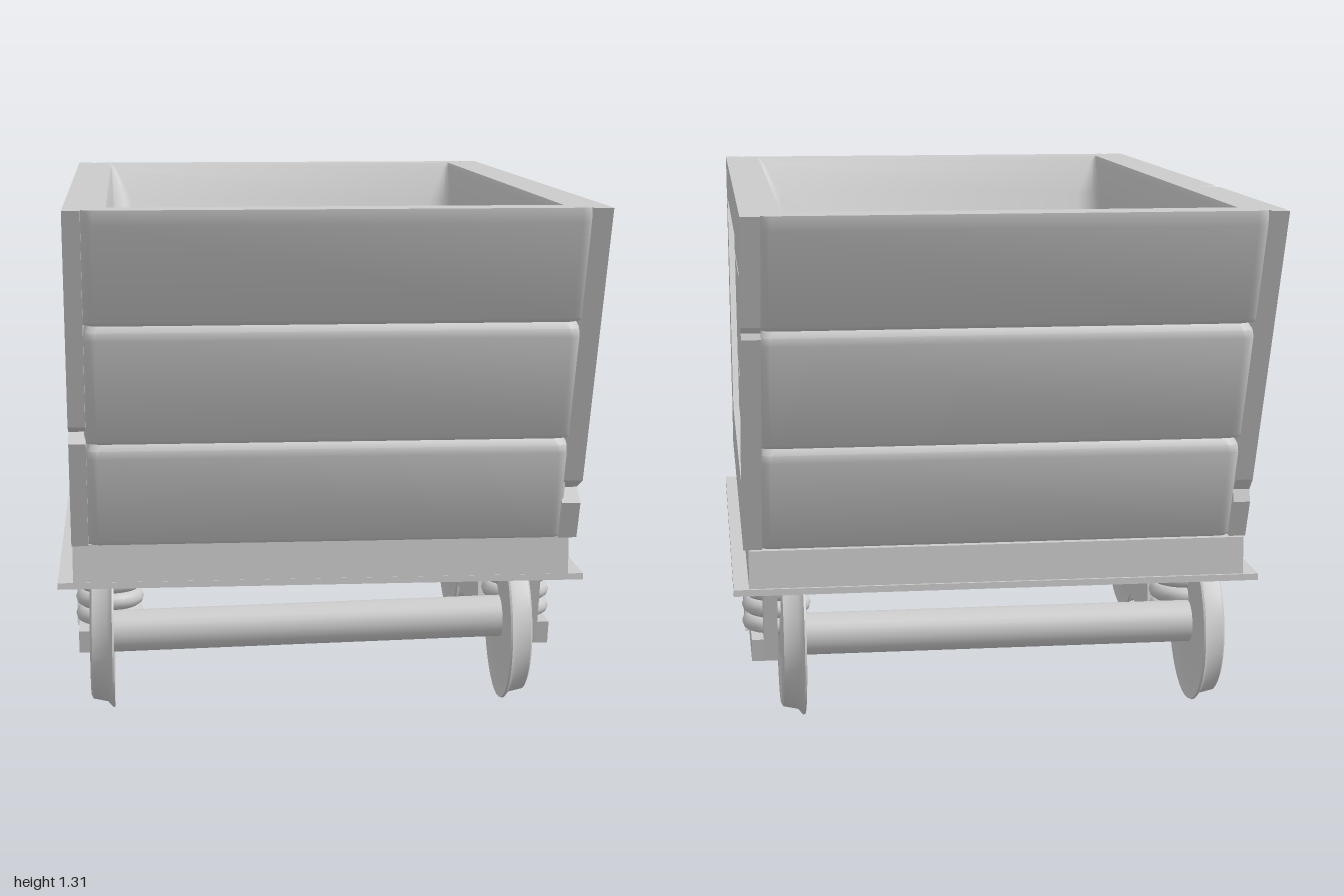
import * as THREE from 'three';
import { toCreasedNormals } from 'three/addons/utils/BufferGeometryUtils.js';

const material = new THREE.MeshStandardMaterial({ color: 0xcccccc });

function add(parent, name, geometry, x = 0, y = 0, z = 0) {
  const mesh = new THREE.Mesh(geometry, material);
  mesh.name = name;
  mesh.position.set(x, y, z);
  parent.add(mesh);
  return mesh;
}

// Plate outlined in (z, y), spanning x0 < x < x1
function plate(parent, name, outline, x0, x1, hole) {
  const toV = ([z, y]) => new THREE.Vector2(z, y);
  const shape = new THREE.Shape(outline.map(toV));
  if (hole) shape.holes.push(new THREE.Path(hole.map(toV)));
  const g = new THREE.ExtrudeGeometry(shape, { depth: x1 - x0, bevelEnabled: false });
  g.rotateY(-Math.PI / 2);
  return add(parent, name, g, x1);
}

// Rounded rectangle ring with 5 points per corner
function ring(y, hx, hz, r) {
  const pts = [];
  for (let q = 0; q < 4; q++) {
    const sx = q === 0 || q === 3 ? 1 : -1, sz = q < 2 ? 1 : -1;
    for (let k = 0; k <= 4; k++) {
      const a = (q + k / 4) * Math.PI / 2;
      pts.push([sx * (hx - r) + r * Math.cos(a), y, sz * (hz - r) + r * Math.sin(a)]);
    }
  }
  return pts;
}

function loft(rings) {
  const n = rings[0].length, index = [];
  for (let i = 0; i < rings.length - 1; i++) {
    for (let j = 0; j < n; j++) {
      const k = (j + 1) % n, a = i * n + j, b = i * n + k;
      index.push(a, a + n, b + n, a, b + n, b);
    }
  }
  const g = new THREE.BufferGeometry();
  g.setAttribute('position', new THREE.Float32BufferAttribute(rings.flat(2), 3));
  g.setIndex(index);
  return toCreasedNormals(g, 0.7);
}

// Planked outside, rim and smooth inside of the hopper in one surface
function hopperGeometry() {
  const outerZ = y => 0.667 + (y - 0.47) * 0.393;
  const rings = [ring(0.47, 0.001, 0.001, 0.0005)];
  for (const [y0, y1, top] of [[0.47, 0.738, 0.025], [0.738, 1.035, 0.025], [1.035, 1.31, 0.006]]) {
    for (const [y, inset] of [[y0, 0.025], [y0 + 0.005, 0.005], [y0 + 0.014, 0],
      [y1 - 0.035, 0], [y1 - 0.015, top * 0.3], [y1, top]]) {
      rings.push(ring(y, 0.583 - inset * 0.5, outerZ(y) - inset, 0.03));
    }
  }
  rings.push(ring(1.31, 0.523, 0.9, 0.004), ring(1.295, 0.52, 0.892, 0.015));
  for (const [y, hx, hz, r] of [[1.2, 0.518, 0.855, 0.06], [0.75, 0.512, 0.68, 0.1],
    [0.68, 0.505, 0.65, 0.1], [0.63, 0.48, 0.61, 0.1], [0.6, 0.43, 0.54, 0.1], [0.59, 0.37, 0.46, 0.1]]) {
    rings.push(ring(y, hx, hz, r));
  }
  rings.push(ring(0.59, 0.001, 0.001, 0.0005));
  return loft(rings);
}

function wheelGeometry() {
  const profile = [[0, 0.008], [0.16, 0.008], [0.18, 0.006], [0.203, 0],
    [0.205, 0.005], [0.19, 0.018], [0.182, 0.055], [0.172, 0.06], [0.16, 0.057], [0.145, 0.046],
    [0.09, 0.04], [0.065, 0.048], [0.05, 0.058], [0, 0.06]];
  const g = new THREE.LatheGeometry(profile.map(p => new THREE.Vector2(...p)), 40);
  return toCreasedNormals(g.rotateZ(-Math.PI / 2), 0.7);
}

export function createModel() {
  const model = new THREE.Group();
  model.name = 'mineCart';

  add(model, 'hopper', hopperGeometry(), 0.006);
  add(model, 'chassis', new THREE.BoxGeometry(1.225, 0.095, 1.302), 0, 0.4225, -0.012);
  add(model, 'chassisLip', new THREE.BoxGeometry(1.3, 0.016, 1.31), 0, 0.368, -0.015);

  // Side frames with worn notches in their edges
  const frameHole = [[0.82, 1.2], [0.49, 0.615], [-0.535, 0.615], [-0.8, 1.2]];
  plate(model, 'leftFrame', [[0.67, 0.475], [0.71, 0.57], [0.66, 0.6], [0.73, 0.63], [1, 1.31],
    [-1, 1.31], [-0.9, 1.05], [-0.885, 1.035], [-0.89, 1.02], [-0.67, 0.475]], 0.58, 0.625, frameHole);
  plate(model, 'rightFrame', [[0.67, 0.475], [0.775, 0.745], [0.745, 0.77], [0.8, 0.79], [1, 1.31],
    [-0.27, 1.31], [-0.3, 1.285], [-0.33, 1.31], [-1, 1.31], [-0.73, 0.63], [-0.7, 0.6],
    [-0.71, 0.57], [-0.67, 0.475]], -0.614, -0.573, frameHole);

  // Side planks, nearly flush inside the frame windows
  const front = y => 0.49 + (y - 0.615) * 0.564, back = y => -0.535 - (y - 0.615) * 0.453;
  for (const [y0, y1] of [[0.615, 0.738], [0.75, 1.033], [1.045, 1.2]]) {
    const outline = [[front(y0), y0], [front(y1), y1], [back(y1), y1], [back(y0), y0]];
    plate(model, 'leftSidePlank', outline, 0.57, 0.608);
    plate(model, 'rightSidePlank', outline, -0.597, -0.56);
  }

  // Suspension on each side, the springs set half into the plate
  const coil = new THREE.TorusGeometry(0.066, 0.022, 10, 28).rotateX(Math.PI / 2);
  for (const s of [1, -1]) {
    const side = new THREE.Group();
    side.name = s > 0 ? 'leftSuspension' : 'rightSuspension';
    model.add(side);
    const slab = (name, outline, near, far, hole) =>
      plate(side, name, outline, Math.min(s * near, s * far), Math.max(s * near, s * far), hole);
    slab('sidePlate', [[0.43, 0.14], [0.49, 0.362], [-0.545, 0.362], [-0.485, 0.14]], 0.54, 0.575);
    slab('springSeat', [[0.43, 0.14], [0.445, 0.2], [-0.5, 0.2], [-0.485, 0.14]], 0.54, 0.605);
    slab('axleBox', [[0.185, 0.14], [0.14, 0.362], [-0.195, 0.362], [-0.235, 0.14]], 0.465, 0.598);
    slab('axleBoxRim', [[0.17, 0.142], [0.13, 0.362], [-0.18, 0.362], [-0.22, 0.142]], 0.597, 0.615,
      [[0.11, 0.2], [0.09, 0.35], [-0.135, 0.35], [-0.155, 0.2]]);
    for (const z of [0.315, -0.37]) {
      const x = s * 0.532 + 0.006;
      for (let i = 0; i < 4; i++) add(side, 'springCoil', coil, x, 0.216 + i * 0.044, z);
      add(side, 'springCore', new THREE.CylinderGeometry(0.052, 0.052, 0.17, 20), x, 0.28, z);
    }
  }

  // Flanged wheels and axles
  const wheel = wheelGeometry();
  for (const [end, z] of [['front', 0.42], ['back', -0.47]]) {
    add(model, end + 'LeftWheel', wheel, 0.475, 0.205, z);
    add(model, end + 'RightWheel', wheel, -0.515, 0.205, z).rotation.y = Math.PI;
    const axle = add(model, end + 'Axle',
      new THREE.CylinderGeometry(0.053, 0.053, 1.0, 24).rotateZ(Math.PI / 2), -0.02, 0.203, z);
    if (end === 'front') axle.rotation.z = 0.02; // slightly bent out of level
  }
  return model;
}
